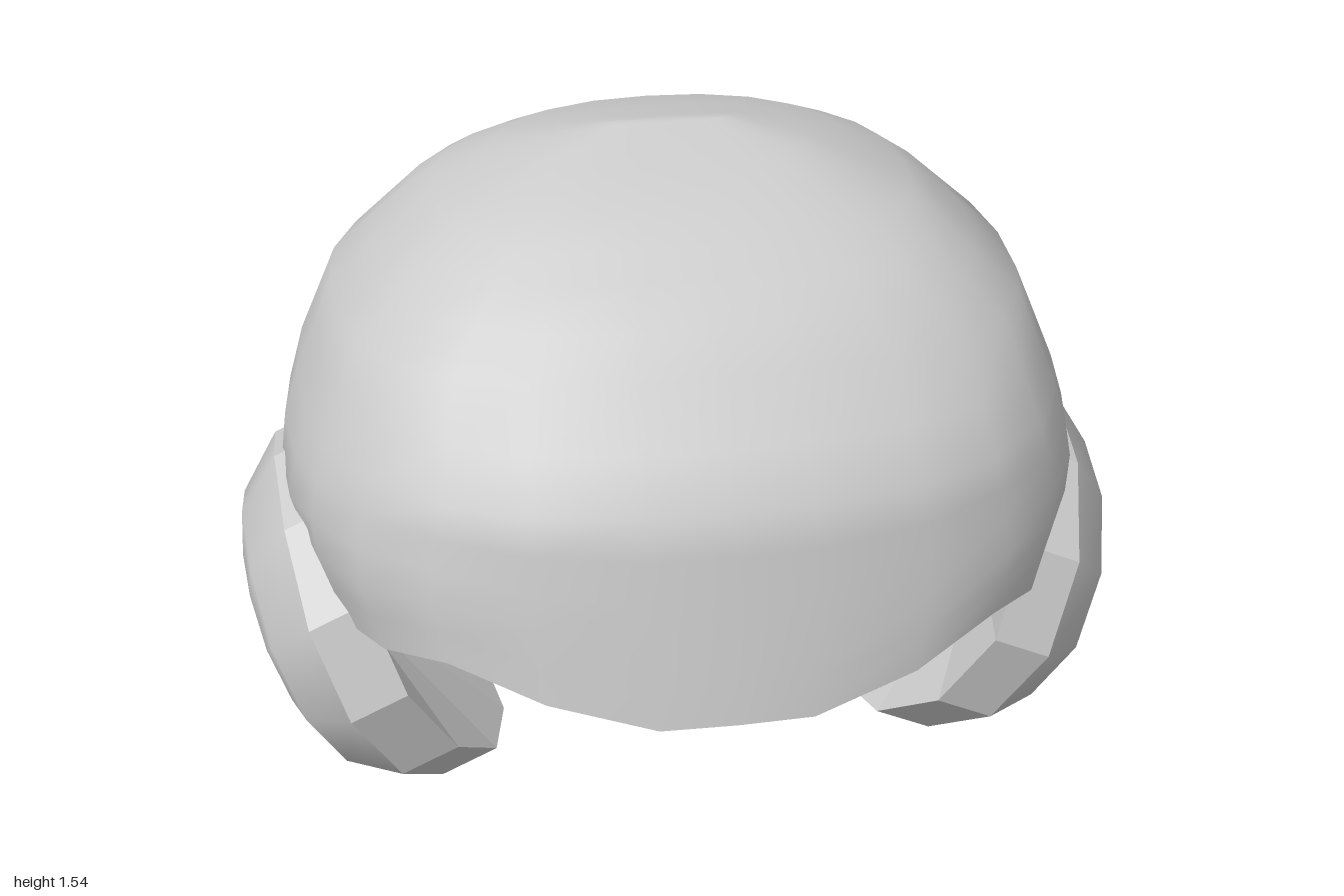
import * as THREE from 'three';
import { mergeVertices } from 'three/addons/utils/BufferGeometryUtils.js';

const smooth = new THREE.MeshStandardMaterial({ color: 0xcccccc });
const faceted = new THREE.MeshStandardMaterial({ color: 0xcccccc, flatShading: true });

// piecewise linear lookup of one column in a list of [key, value, ...]
function lookup(table, k, col = 1) {
  if (k <= table[0][0]) return table[0][col];
  for (let i = 1; i < table.length; i++) {
    const a = table[i - 1], b = table[i];
    if (k <= b[0]) return a[col] + (b[col] - a[col]) * (k - a[0]) / (b[0] - a[0]);
  }
  return table[table.length - 1][col];
}

// shell silhouettes by height: front z, back z, half width, front squareness
const frontZ = [[0.54, 0.79], [1, 0.71], [1.3, 0.46], [1.47, 0.21], [1.54, -0.06]];
const backZ = [[0.285, -0.63], [0.53, -0.72], [1, -0.785], [1.36, -0.58], [1.455, -0.43], [1.54, -0.1]];
const halfX = [[0.285, 0.72], [0.57, 0.82], [0.79, 0.893], [0.94, 0.866], [1.21, 0.756],
  [1.4, 0.545], [1.495, 0.32], [1.54, 0.13]];
const squareness = [[0.95, 2.65], [1.3, 3]];

// outer edge height, and inner edge x, y, z, by angle from the front in degrees
const outerEdge = [[0, 0.535], [7, 0.535], [38, 0.65], [69, 0.575], [80, 0.5], [95, 0.42], [130, 0.3], [180, 0.285]];
const innerEdge = [[0, 0, 0.535, 0.48], [7, 0.2, 0.535, 0.48], [38, 0.42, 0.56, 0.5], [54, 0.55, 0.59, 0.47],
  [69, 0.62, 0.6, 0.39], [80, 0.605, 0.52, 0.2], [90, 0.59, 0.49, 0.1], [104, 0.55, 0.48, -0.02],
  [118, 0.42, 0.48, -0.17], [148, 0.2, 0.5, -0.36], [180, 0, 0.515, -0.45]];

const half = [0, 7, 22, 38, 54, 69, 80, 90, 104, 118, 132, 148, 165, 180];
const angles = [...half, ...half.slice(1, -1).reverse().map(a => -a)];
const MID = -0.08;

// point on the rounded plan outline of the dome at height y
function shellPoint(deg, y) {
  const a = deg * Math.PI / 180, c = Math.cos(a), s = Math.sin(a);
  const p = 2 / (c > 0 ? lookup(squareness, y) : 2.28);
  const reach = (c > 0 ? lookup(frontZ, y) : lookup(backZ, y)) - MID;
  return [Math.sign(s) * Math.pow(Math.abs(s), p) * lookup(halfX, y), y, MID + Math.pow(Math.abs(c), p) * reach];
}

// skin a stack of closed loops
function skin(rings, flip) {
  const n = angles.length, index = [];
  for (let i = 0; i < rings.length - 1; i++) {
    for (let j = 0; j < n; j++) {
      const a = i * n + j, b = i * n + (j + 1) % n, c = b + n, d = a + n;
      index.push(...(flip ? [a, c, b, a, d, c] : [a, b, c, a, c, d]));
    }
  }
  const g = new THREE.BufferGeometry();
  g.setAttribute('position', new THREE.Float32BufferAttribute(rings.flat(2), 3));
  g.setIndex(index);
  g.computeVertexNormals();
  return g;
}

// lathed disc whose upper and lower ends curl towards the head
function bentDisc(profile) {
  const g = new THREE.LatheGeometry(profile.map(p => new THREE.Vector2(...p)), 12);
  g.deleteAttribute('normal');
  g.deleteAttribute('uv');
  const pos = g.attributes.position;
  for (let i = 0; i < pos.count; i++) pos.setY(i, pos.getY(i) - 0.07 * (pos.getX(i) / 0.43) ** 2);
  const merged = mergeVertices(g);
  merged.computeVertexNormals();
  return merged;
}

function addMesh(parent, name, geometry, material) {
  const m = new THREE.Mesh(geometry, material);
  m.name = name;
  parent.add(m);
}

export function createModel() {
  const model = new THREE.Group();
  model.name = 'helmet';

  // outer dome, rim to crown
  const dome = [0, 0.2, 0.4, 0.6, 0.8].map(t => angles.map(a => {
    const y0 = lookup(outerEdge, Math.abs(a));
    return shellPoint(a, y0 + (1 - y0) * t);
  }));
  for (const y of [1, 1.1, 1.21, 1.3, 1.36, 1.41, 1.46, 1.5, 1.54]) dome.push(angles.map(a => shellPoint(a, y)));
  dome.push(angles.map(() => [0, 1.54, MID]));
  addMesh(model, 'domeShell', skin(dome, false), smooth);

  // thick underside between the outer and inner edges
  const innerRim = angles.map(a => {
    const k = Math.abs(a);
    return [Math.sign(a) * lookup(innerEdge, k, 1), lookup(innerEdge, k, 2), lookup(innerEdge, k, 3)];
  });
  addMesh(model, 'rimUnderside', skin([dome[0], innerRim], true), smooth);

  // shallow panel closing the opening
  addMesh(model, 'innerPanel', skin([innerRim, angles.map(() => [0, 0.54, 0.1])], true), smooth);

  // tilted ear pads: faceted rim, hollow inside, softly domed cover
  const padRim = bentDisc([[0, 0.02], [0.44, -0.075], [0.44, 0.065]]);
  const padCover = bentDisc([[0.44, 0.065], [0.35, 0.17], [0.25, 0.2], [0.12, 0.212], [0, 0.21]]);
  for (const side of [1, -1]) {
    const pad = new THREE.Group();
    pad.name = side > 0 ? 'leftEarPad' : 'rightEarPad';
    addMesh(pad, 'padRim', padRim, faceted);
    addMesh(pad, 'padCover', padCover, smooth);
    pad.position.set(side * 0.73, 0.4, -0.04);
    pad.rotation.z = -side * 2.004;
    pad.scale.z = 1.03;
    model.add(pad);
  }
  return model;
}
